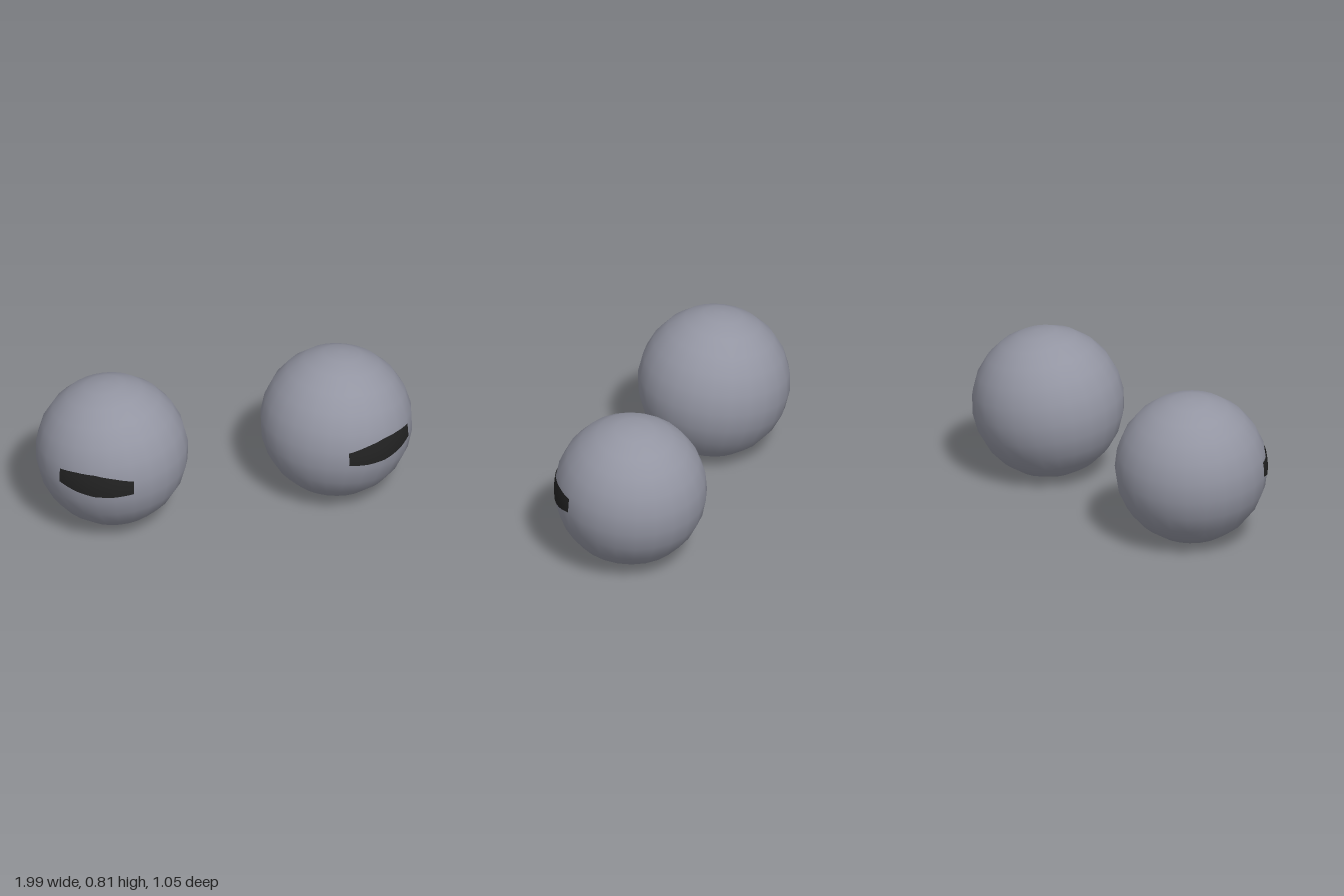
import * as THREE from 'three';

const RADIUS = 0.405;
const shellMaterial = new THREE.MeshStandardMaterial({ color: 0x9395a2 });
const bandMaterial = new THREE.MeshStandardMaterial({ color: 0x232323, side: THREE.DoubleSide });

// Curved dark strip hugging the ball, tallest in the middle; angles run from +z towards +x
function bandGeometry(from, to, yFrom, yTo) {
  const halfHeights = [0.039, 0.057, 0.066, 0.057, 0.039];
  const geometry = new THREE.PlaneGeometry(1, 1, 16, 4);
  const p = geometry.attributes.position;
  const r = RADIUS + 0.001;
  for (let i = 0; i < p.count; i++) {
    const u = p.getX(i) + 0.5;
    const k = Math.min(3, Math.floor(u * 4));
    const half = THREE.MathUtils.lerp(halfHeights[k], halfHeights[k + 1], u * 4 - k);
    const y = THREE.MathUtils.lerp(yFrom, yTo, u) + p.getY(i) * 2 * half;
    const angle = THREE.MathUtils.degToRad(THREE.MathUtils.lerp(from, to, u));
    const ring = Math.sqrt(r * r - y * y);
    p.setXYZ(i, Math.sin(angle) * ring, y, Math.cos(angle) * ring);
  }
  geometry.computeVertexNormals();
  return geometry;
}

// One ball with tilted poles and its strip
function makeBall(name, { position, up, yaw, band }) {
  const group = new THREE.Group();
  group.name = name;
  group.position.set(...position);

  const ball = new THREE.Mesh(new THREE.SphereGeometry(RADIUS, 24, 12), shellMaterial);
  ball.name = name + 'Shell';
  const axis = new THREE.Vector3(...up).normalize();
  ball.quaternion.setFromUnitVectors(new THREE.Vector3(0, 1, 0), axis);
  ball.rotateY(THREE.MathUtils.degToRad(yaw));

  const strip = new THREE.Mesh(bandGeometry(...band), bandMaterial);
  strip.name = name + 'Band';
  group.add(ball, strip);
  return group;
}

export function createModel() {
  const model = new THREE.Group();
  model.name = 'ballPair';
  model.add(
    makeBall('rightBall', {
      position: [-0.596, 0.405, 0.121], up: [-0.045, 0.4, -0.03], yaw: 0,
      band: [-44.5, 15.5, 0.031, 0.01],
    }),
    makeBall('leftBall', {
      position: [0.596, 0.405, -0.128], up: [0.035, 0.4, -0.05], yaw: 7.5,
      band: [8.5, 68.5, 0.01, 0.029],
    }),
  );
  return model;
}
